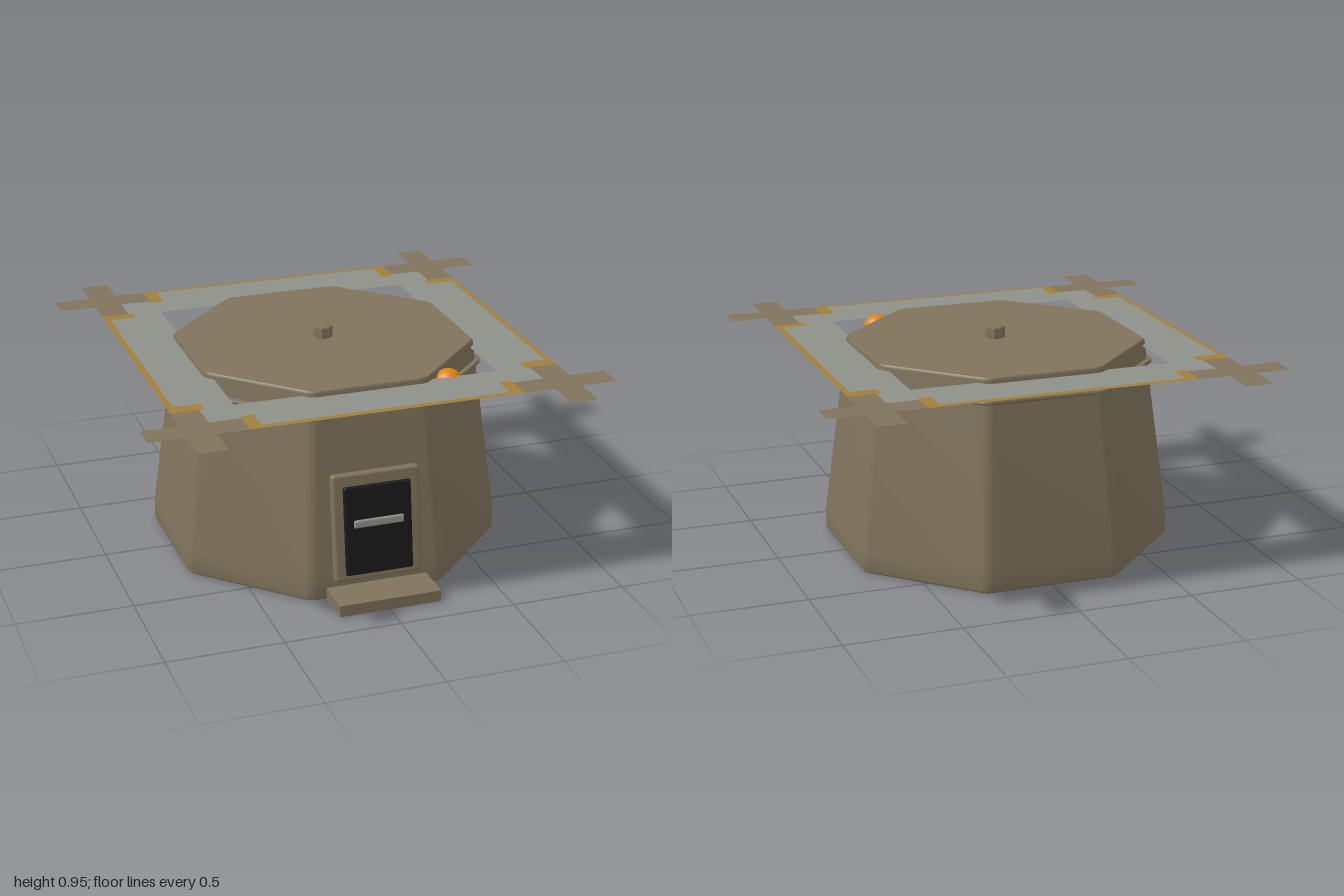
import * as THREE from 'three';
import { RoundedBoxGeometry } from 'three/addons/geometries/RoundedBoxGeometry.js';

const material = (name, color, extra = {}) => {
  const m = new THREE.MeshStandardMaterial({ color, ...extra });
  m.name = name;
  return m;
};

// Eight-sided solid with rounded upright corners, from [distance to flat side, height] profiles
function octagon(profile, corner) {
  const steps = 5;
  const geometry = new THREE.LatheGeometry(profile.map(([r, y]) => new THREE.Vector2(r, y)), 8 * steps);
  const position = geometry.attributes.position;
  for (let i = 0; i <= 8 * steps; i++) {
    const k = Math.floor(i / steps);
    const middle = (k + 0.5) * Math.PI / 4;
    const turn = (k + (i % steps) / (steps - 1)) * Math.PI / 4;
    profile.forEach(([r, y], j) => {
      const round = Math.min(corner, r);
      const centre = (r - round) / Math.cos(Math.PI / 8);
      position.setXYZ(i * profile.length + j,
        centre * Math.sin(middle) + round * Math.sin(turn), y,
        centre * Math.cos(middle) + round * Math.cos(turn));
    });
  }
  geometry.computeVertexNormals();
  return geometry;
}

export function createModel() {
  const model = new THREE.Group();
  model.name = 'octagonalHut';

  const clay = material('clay brown', 0x80735c);
  const timber = material('timber brown', 0x80735c, { side: THREE.DoubleSide });
  const grey = material('panel grey', 0x8e908a, { side: THREE.DoubleSide });
  const ochre = material('ochre edging', 0xa07f39, { side: THREE.DoubleSide });
  const black = material('door black', 0x1a1a1b);
  const silver = material('handle silver', 0x8f9089);
  const orange = material('lamp orange', 0xdc8410);

  const add = (parent, name, geometry, mat, x = 0, y = 0, z = 0) => {
    const mesh = new THREE.Mesh(geometry, mat);
    mesh.name = name;
    mesh.position.set(x, y, z);
    parent.add(mesh);
    return mesh;
  };

  // Walls, floor and roof are separate so that the flat faces stay crisp
  add(model, 'walls', octagon([[0.695, 0], [0.706, 0.012], [0.706, 0.1],
    [0.606, 0.89], [0.598, 0.9]], 0.07), clay);
  add(model, 'floor', octagon([[0, 0], [0.695, 0]], 0.07), clay);
  add(model, 'roof', octagon([[0.598, 0.9], [0, 0.9]], 0.07), clay);
  add(model, 'rim', octagon([[0.6, 0.793], [0.63, 0.793], [0.636, 0.798],
    [0.636, 0.808], [0.63, 0.813], [0.6, 0.813]], 0.07), clay);
  add(model, 'topKnob', octagon([[0.04, 0.895], [0.04, 0.943], [0.034, 0.95], [0, 0.95]], 0.004), clay);
  add(model, 'lamp', new THREE.SphereGeometry(0.063, 32, 20), orange, 0.37, 0.837, 0.54);
  add(model, 'doorStep', new THREE.BoxGeometry(0.445, 0.05, 0.19), clay, 0, 0.03, 0.785);

  // Door leaning back with the front wall
  const door = new THREE.Group();
  door.name = 'door';
  door.position.set(0, 0.09, 0.706);
  door.rotation.x = -Math.atan2(0.1, 0.79);
  model.add(door);
  add(door, 'doorFrame', new RoundedBoxGeometry(0.385, 0.465, 0.05, 2, 0.012), clay, 0, 0.225, 0.008);
  add(door, 'doorPanel', new RoundedBoxGeometry(0.295, 0.385, 0.03, 2, 0.008), black, 0, 0.213, 0.035);
  add(door, 'doorHandle', new RoundedBoxGeometry(0.22, 0.034, 0.022, 2, 0.008), silver, 0, 0.245, 0.05);

  // Flat square deck frame around the top
  const deck = new THREE.Group();
  deck.name = 'deckFrame';
  deck.position.y = 0.88;
  model.add(deck);

  const square = (half, Type) => new Type([[-half, -half], [half, -half], [half, half], [-half, half]]
    .map(([x, y]) => new THREE.Vector2(x, y)));
  const ring = square(0.72, THREE.Shape);
  ring.holes.push(square(0.573, THREE.Path));
  add(deck, 'deckRing', new THREE.ShapeGeometry(ring).rotateX(-Math.PI / 2), grey, 0, -0.002);

  const sheet = (x0, x1, z0, z1) => new THREE.PlaneGeometry(x1 - x0, z1 - z0)
    .rotateX(-Math.PI / 2).translate((x0 + x1) / 2, 0, (z0 + z1) / 2);

  for (let i = 0; i < 4; i++) {
    const side = new THREE.Group();
    side.name = 'deckSide' + (i + 1);
    side.rotation.y = i * Math.PI / 2;
    deck.add(side);
    add(side, 'edging', sheet(-0.585, 0.585, 0.7, 0.84), ochre);
    add(side, 'sidePanel', sheet(-0.53, 0.53, 0.68, 0.815), grey, 0, 0.002);
    // Crossing beam ends; the right-hand one stops at the crossing to avoid overlap
    add(side, 'leftBeamEnd', sheet(0.585, 1, 0.72, 0.84), timber);
    add(side, 'rightBeamInner', sheet(-0.72, -0.585, 0.72, 0.84), timber);
    add(side, 'rightBeamOuter', sheet(-1, -0.84, 0.72, 0.84), timber);
  }

  return model;
}
